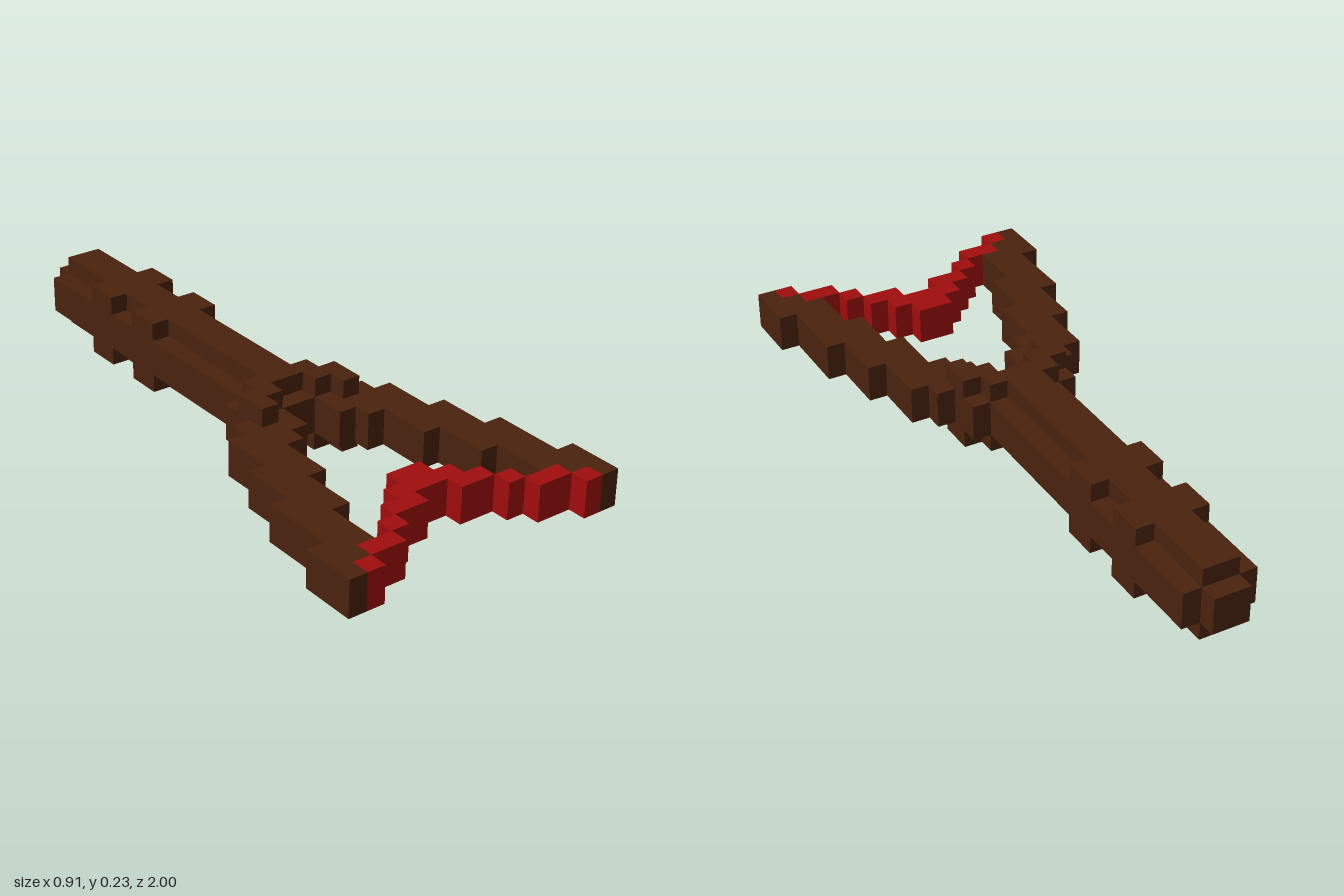
import * as THREE from 'three';
import { mergeGeometries } from 'three/addons/utils/BufferGeometryUtils.js';

const U = 2 / 35; // edge of one cube; z is counted in cubes from the back end

// Box spanning cube coordinates x0..x1, y0..y1, z0..z1
function block(x0, x1, y0, y1, z0, z1) {
  const g = new THREE.BoxGeometry((x1 - x0) * U, (y1 - y0) * U, (z1 - z0) * U);
  g.translate(((x0 + x1) / 2) * U, ((y0 + y1) / 2) * U, ((z0 + z1) / 2) * U - 1);
  return g;
}

function part(name, geometries, material) {
  const mesh = new THREE.Mesh(mergeGeometries(geometries), material);
  mesh.name = name;
  return mesh;
}

export function createModel() {
  const wood = new THREE.MeshStandardMaterial({ color: 0x4a220e });
  wood.name = 'dark wood';
  const rubber = new THREE.MeshStandardMaterial({ color: 0xa00d0d });
  rubber.name = 'red rubber';

  const model = new THREE.Group();
  model.name = 'slingshot';

  // Handle: plus-shaped section with a small end cap
  model.add(part('handle', [
    block(-2, 2, 1, 3, 1, 21),
    block(-1, 1, 0, 1, 1, 20),
    block(-1, 1, 3, 4, 1, 20),
  ], wood));
  model.add(part('handleEnd', [block(-1, 1, 1, 3, 0, 1)], wood));

  // Grip rings fill the corners of the plus section
  for (const z of [5, 9]) {
    const corners = [];
    for (const y of [0, 3]) {
      corners.push(block(-2, -1, y, y + 1, z, z + 2), block(1, 2, y, y + 1, z, z + 2));
    }
    model.add(part('gripRing', corners, wood));
  }

  // Stepped runs: [inner x, outer x, back z, front z]
  const prongRows = [
    [2, 3, 19, 21], [1, 4, 21, 22], [1, 5, 22, 23], [2, 5, 23, 24],
    [3, 5, 24, 25], [3, 6, 25, 27], [4, 6, 27, 28], [4, 7, 28, 30],
    [5, 7, 30, 32], [5, 8, 32, 33], [6, 8, 33, 34], [7, 8, 34, 35],
  ];
  const shoulderRows = [[1, 2, 19, 21], [2, 3, 20, 22]];
  const bandRows = [
    [0, 1, 29, 30], [0, 2, 30, 31], [1, 3, 31, 32],
    [3, 4, 32, 33], [4, 6, 33, 34], [6, 7, 34, 35],
  ];
  const run = (rows, side, y0, y1) => rows.map(([a, b, z0, z1]) =>
    side > 0 ? block(a, b, y0, y1, z0, z1) : block(-b, -a, y0, y1, z0, z1));

  // Mirrored fork arms, thick shoulders at the joint, and band halves
  for (const [side, label] of [[1, 'left'], [-1, 'right']]) {
    model.add(part(label + 'Prong', run(prongRows, side, 1, 3), wood));
    model.add(part(label + 'Shoulder',
      [...run(shoulderRows, side, 0, 1), ...run(shoulderRows, side, 3, 4)], wood));
    model.add(part(label + 'Band', run(bandRows, side, 1, 3), rubber));
  }
  return model;
}
